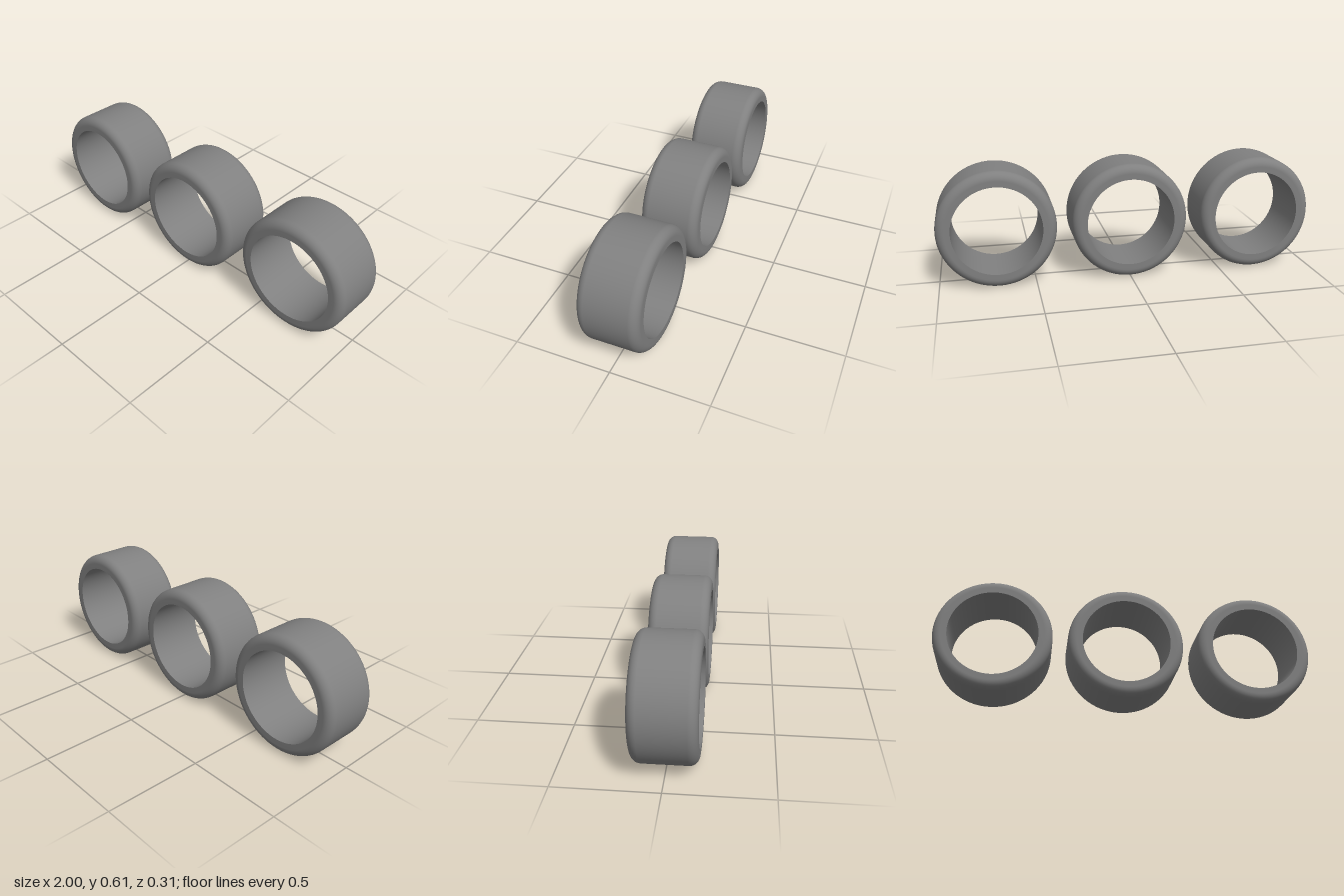
import * as THREE from 'three';
import { mergeGeometries } from 'three/addons/utils/BufferGeometryUtils.js';

const OUTER = 0.307, INNER = 0.232, HALF = 0.154, FILLET = 0.045, SPACING = 0.693;

// Ring with rounded outer rims and a sharp-edged straight bore, axis along z
function ringGeometry() {
  const shell = [new THREE.Vector2(INNER, -HALF)];
  const steps = 8;
  for (const side of [-1, 1]) {
    for (let i = 0; i <= steps; i++) {
      const a = (side < 0 ? i / steps - 1 : i / steps) * Math.PI / 2;
      shell.push(new THREE.Vector2(
        OUTER - FILLET + FILLET * Math.cos(a),
        side * (HALF - FILLET) + FILLET * Math.sin(a)));
    }
  }
  shell.push(new THREE.Vector2(INNER, HALF));
  const bore = [new THREE.Vector2(INNER, HALF), new THREE.Vector2(INNER, -HALF)];
  return mergeGeometries([
    new THREE.LatheGeometry(shell, 72),
    new THREE.LatheGeometry(bore, 72),
  ]).rotateX(Math.PI / 2);
}

export function createModel() {
  const group = new THREE.Group();
  const grey = new THREE.MeshStandardMaterial({ color: 0x808080 });
  grey.name = 'grey';
  const geometry = ringGeometry();

  // Three equal rings in a row
  ['rightRing', 'middleRing', 'leftRing'].forEach((name, i) => {
    const ring = new THREE.Mesh(geometry, grey);
    ring.name = name;
    ring.position.set((i - 1) * SPACING, OUTER, 0);
    group.add(ring);
  });
  return group;
}
